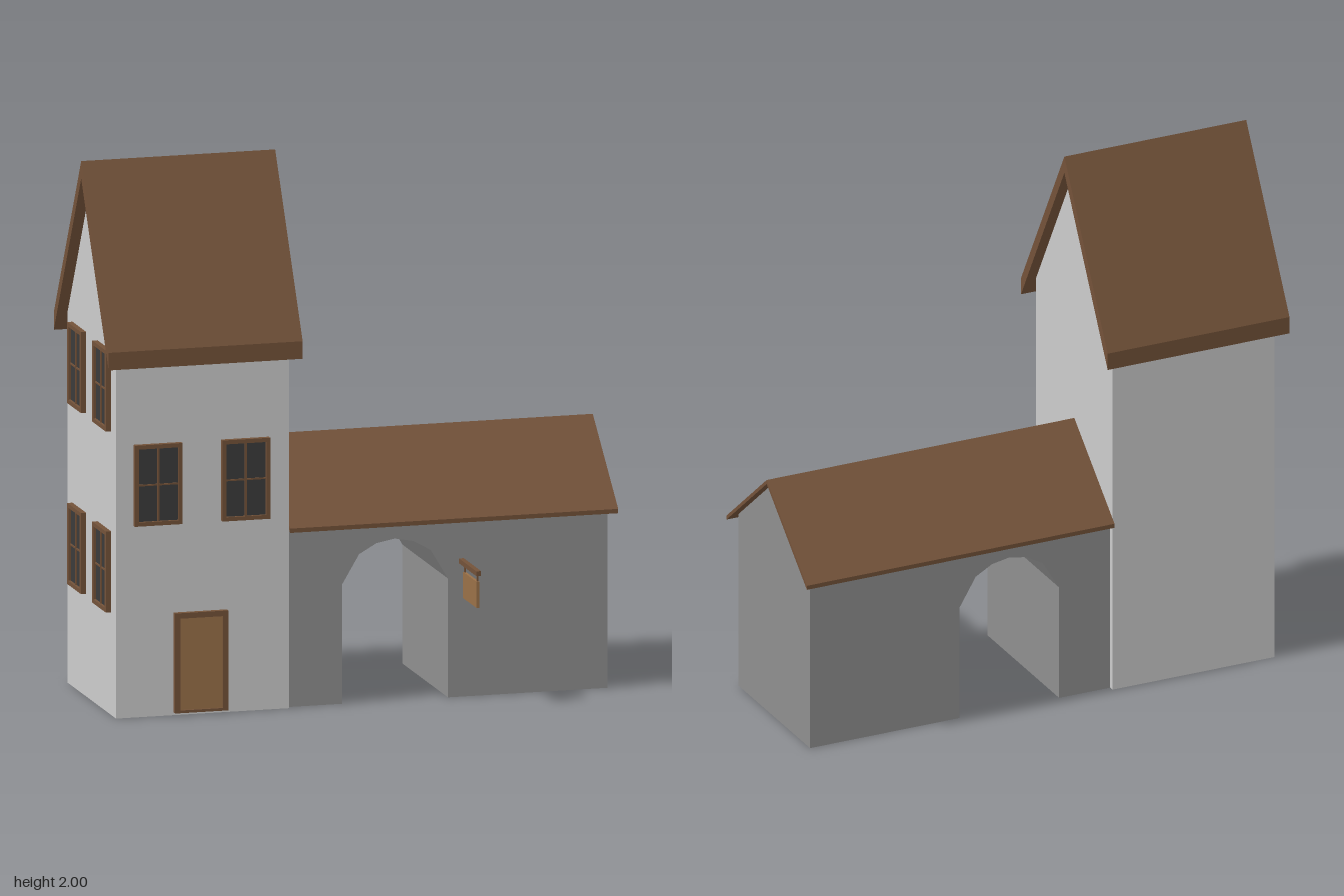
import * as THREE from 'three';

const material = (color, side = THREE.FrontSide) =>
  new THREE.MeshStandardMaterial({ color, side, flatShading: true });
const plaster = material(0xcccccc, THREE.DoubleSide);
const stone = material(0x8f8f8f, THREE.DoubleSide);
const wood = material(0x735239);
const lightWood = material(0x997048);
const glass = material(0x3b3b3b);

const MID_Z = -0.08; // ridge line shared by both buildings

function add(parent, name, geometry, mat, x = 0, y = 0, z = 0) {
  const mesh = new THREE.Mesh(geometry, mat);
  mesh.name = name;
  mesh.position.set(x, y, z);
  parent.add(mesh);
  return mesh;
}

function bar(parent, name, mat, size, x, y, z) {
  return add(parent, name, new THREE.BoxGeometry(...size), mat, x, y, z);
}

const outline = (points) => new THREE.Shape(points.map(([x, y]) => new THREE.Vector2(x, y)));
const sheet = (points) => new THREE.ShapeGeometry(outline(points));

// Four thin walls, open below: two long facades and two gable ends
function walls(parent, name, mat, x0, x1, half, eave, ridge, facade) {
  add(parent, name + 'FrontWall', sheet(facade), mat, 0, 0, MID_Z + half);
  add(parent, name + 'BackWall', sheet(facade.map(([x, y]) => [-x, y])).rotateY(Math.PI),
    mat, 0, 0, MID_Z - half);
  const gable = [[-half, 0], [half, 0], [half, eave], [0, ridge], [-half, eave]];
  add(parent, name + 'LeftGable', sheet(gable).rotateY(Math.PI / 2), mat, x1, 0, MID_Z);
  add(parent, name + 'RightGable', sheet(gable).rotateY(-Math.PI / 2), mat, x0, 0, MID_Z);
}

// Pitched roof slab: chevron section swept along x
function roof(parent, name, x0, x1, half, eave, ridge, thick) {
  const section = outline([
    [-half, eave - thick], [0, ridge - thick], [half, eave - thick],
    [half, eave], [0, ridge], [-half, eave],
  ]);
  const geometry = new THREE.ExtrudeGeometry(section, { depth: x1 - x0, bevelEnabled: false });
  add(parent, name, geometry.rotateY(Math.PI / 2), wood, x0, 0, MID_Z);
}

// Rectangular frame of four bars, centred on its own origin and facing +z
function frame(parent, name, w, h, t, d, sill = t) {
  for (const s of [-1, 1])
    bar(parent, name + 'Jamb', wood, [t, h, d], s * (w - t) / 2, 0, 0);
  bar(parent, name + 'Head', wood, [w - 2 * t, t, d], 0, (h - t) / 2, 0);
  bar(parent, name + 'Sill', wood, [w - 2 * t, sill, d], 0, (sill - h) / 2, 0);
}

function makeWindow(name) {
  const group = new THREE.Group();
  group.name = name;
  frame(group, 'window', 0.18, 0.3, 0.015, 0.04);
  bar(group, 'windowPane', glass, [0.15, 0.27, 0.02], 0, 0, 0);
  bar(group, 'windowMullion', wood, [0.008, 0.27, 0.03], 0, 0, 0);
  bar(group, 'windowCrossbar', wood, [0.15, 0.006, 0.028], 0, 0, 0);
  return group;
}

// Inner surface of the passage, following the arch line through the block
function passage(points, zFront, zBack) {
  const pos = [];
  for (let i = 0; i < points.length - 1; i++) {
    const [ax, ay] = points[i], [bx, by] = points[i + 1];
    pos.push(ax, ay, zFront, bx, by, zFront, bx, by, zBack,
      ax, ay, zFront, bx, by, zBack, ax, ay, zBack);
  }
  const geometry = new THREE.BufferGeometry();
  geometry.setAttribute('position', new THREE.Float32BufferAttribute(pos, 3));
  geometry.computeVertexNormals();
  return geometry;
}

function makeTower() {
  const tower = new THREE.Group();
  tower.name = 'tower';
  const x0 = -0.925, x1 = -0.275, eave = 1.374;
  walls(tower, 'tower', plaster, x0, x1, 0.32, eave, 1.935,
    [[x0, 0], [x1, 0], [x1, eave], [x0, eave]]);
  roof(tower, 'towerRoof', -0.965, -0.235, 0.362, 1.365, 2, 0.065);

  // Front windows
  for (const x of [-0.77, -0.44]) {
    const win = makeWindow('frontWindow');
    win.position.set(x, 0.86, 0.24);
    tower.add(win);
  }
  // Two storeys of windows on the right end
  for (const y of [0.53, 1.2]) for (const s of [-1, 1]) {
    const win = makeWindow('sideWindow');
    win.position.set(x0, y, MID_Z + s * 0.165);
    win.rotation.y = -Math.PI / 2;
    tower.add(win);
  }
  // Door
  const door = new THREE.Group();
  door.name = 'door';
  door.position.set(-0.608, 0.195, 0.24);
  frame(door, 'door', 0.2, 0.37, 0.02, 0.04, 0.01);
  bar(door, 'doorPanel', lightWood, [0.16, 0.34, 0.02], 0, -0.005, 0);
  tower.add(door);
  return tower;
}

function makeGatehouse() {
  const gate = new THREE.Group();
  gate.name = 'gatehouse';
  const x0 = -0.67, x1 = 0.93, half = 0.3, eave = 0.685, cx = 0.13;

  // Faceted arch line, mirrored about its centre
  const side = [[0.2, 0], [0.2, 0.44], [0.135, 0.55], [0.07, 0.587]];
  const arch = [
    ...side.map(([x, y]) => [cx - x, y]), [cx, 0.6],
    ...side.slice().reverse().map(([x, y]) => [cx + x, y]),
  ];
  walls(gate, 'gatehouse', stone, x0, x1, half, eave, 0.935,
    [[x0, 0], ...arch, [x1, 0], [x1, eave], [x0, eave]]);
  add(gate, 'archPassage', passage(arch, MID_Z + half, MID_Z - half), stone);
  roof(gate, 'gatehouseRoof', -0.275, 0.96, 0.336, 0.668, 0.95, 0.016);

  // Hanging sign
  const sign = new THREE.Group();
  sign.name = 'hangingSign';
  sign.position.x = 0.38;
  bar(sign, 'signBeam', wood, [0.018, 0.018, 0.235], 0, 0.503, 0.333);
  bar(sign, 'signBoard', lightWood, [0.01, 0.097, 0.18], 0, 0.422, 0.35);
  for (const z of [0.268, 0.432])
    bar(sign, 'signHanger', wood, [0.005, 0.03, 0.005], 0, 0.483, z);
  gate.add(sign);
  return gate;
}

export function createModel() {
  const model = new THREE.Group();
  model.name = 'towerHouseWithArchway';
  model.add(makeTower(), makeGatehouse());
  return model;
}
